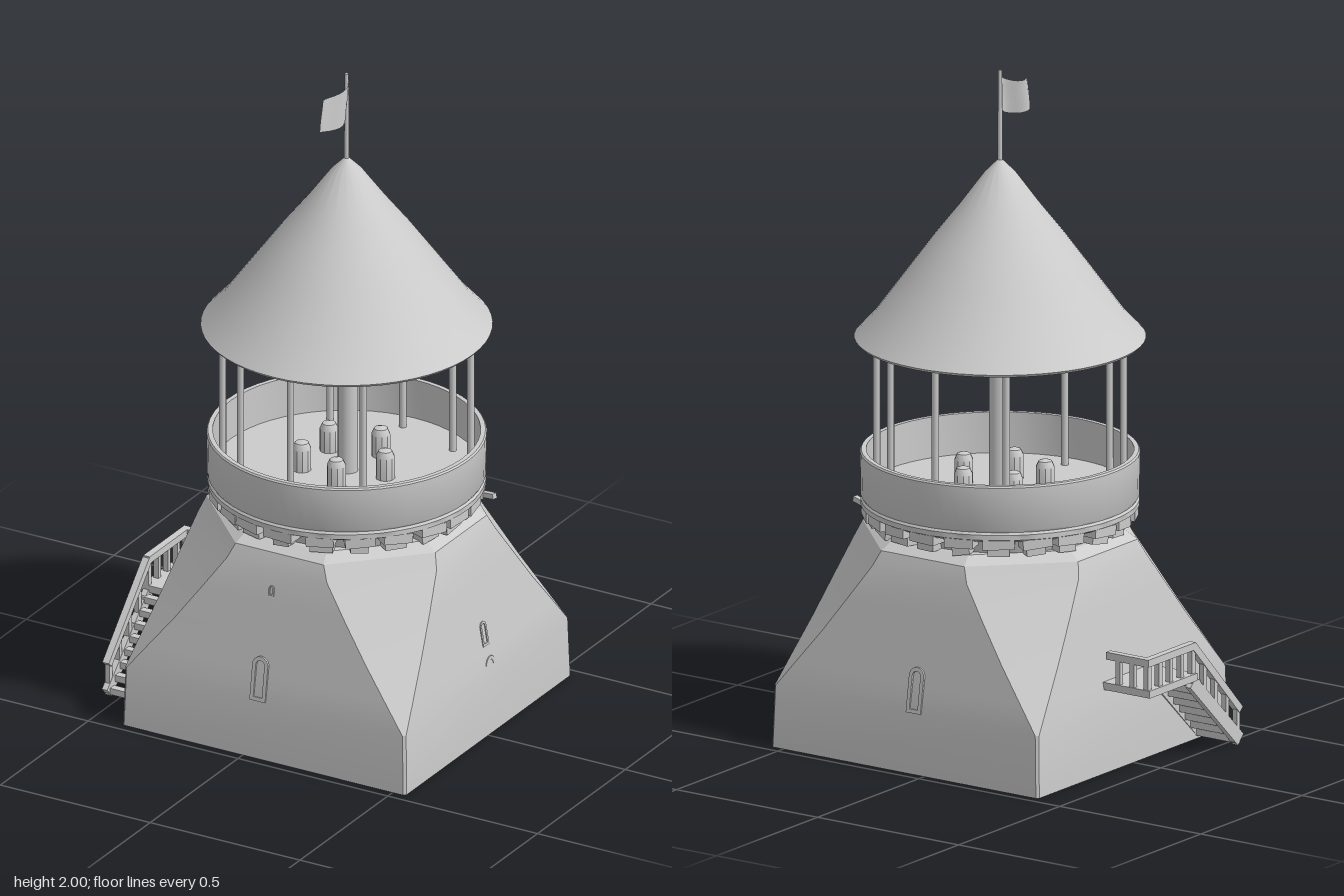
import * as THREE from 'three';
import { toCreasedNormals } from 'three/addons/utils/BufferGeometryUtils.js';

const smooth = new THREE.MeshStandardMaterial({ color: 0xcccccc });
const flat = new THREE.MeshStandardMaterial({ color: 0xcccccc, flatShading: true });
const thin = new THREE.MeshStandardMaterial({ color: 0xcccccc, side: THREE.DoubleSide });

let seed = 7;
const rand = () => (seed = (seed * 16807) % 2147483647) / 2147483647;

function add(parent, name, geometry, material, x = 0, y = 0, z = 0) {
  const mesh = new THREE.Mesh(geometry, material);
  mesh.name = name;
  mesh.position.set(x, y, z);
  parent.add(mesh);
  return mesh;
}

function group(parent, name, x = 0) {
  const g = new THREE.Group();
  g.name = name;
  g.position.x = x;
  parent.add(g);
  return g;
}

function lathe(points, segments) {
  const pts = points.map(([r, y]) => new THREE.Vector2(r, y));
  return toCreasedNormals(new THREE.LatheGeometry(pts, segments), 0.6);
}

// square bar running between two points
function beam(parent, name, a, b, w = 0.022, h = w) {
  const from = new THREE.Vector3(...a), to = new THREE.Vector3(...b);
  const mesh = add(parent, name, new THREE.BoxGeometry(w, h, from.distanceTo(to)), flat);
  mesh.position.copy(from).add(to).multiplyScalar(0.5);
  mesh.lookAt(to);
}

// square shell, open below, whose corners are cut back into an octagon towards the top
function baseGeometry() {
  const levels = [ // height, half width, half length of the flat face
    [0.005, 0.473, 0.466], [0.19, 0.468, 0.46], [0.27, 0.454, 0.397], [0.37, 0.436, 0.318],
    [0.48, 0.417, 0.238], [0.58, 0.398, 0.167], [0.625, 0.382, 0.147], [0.65, 0.345, 0.135],
  ];
  const pos = [], idx = [];
  for (const [y, w, h] of levels)
    for (const [x, z] of [[-h, w], [h, w], [w, h], [w, -h], [h, -w], [-h, -w], [-w, -h], [-w, h]])
      pos.push(x, y, z);
  const last = (levels.length - 1) * 8, top = last + 8;
  pos.push(0, 0.65, 0);
  for (let i = 0; i < 8; i++) {
    const j = (i + 1) % 8;
    for (let k = 0; k < last; k += 8) idx.push(k + i, k + j, k + 8 + j, k + i, k + 8 + j, k + 8 + i);
    idx.push(last + i, last + j, top);
  }
  const g = new THREE.BufferGeometry();
  g.setAttribute('position', new THREE.Float32BufferAttribute(pos, 3));
  g.setIndex(idx);
  return toCreasedNormals(g, 0.3);
}

function arch(path, w, h, y = 0) {
  path.moveTo(-w, y);
  path.lineTo(w, y);
  path.lineTo(w, y + h - w);
  path.absarc(0, y + h - w, w, 0, Math.PI, false);
  path.lineTo(-w, y);
  return path;
}

// arched frame reaching through the wall
function windowFrame(w, h) {
  const shape = arch(new THREE.Shape(), w, h);
  shape.holes.push(arch(new THREE.Path(), w * 0.55, h - w * 0.9, w * 0.45));
  return new THREE.ExtrudeGeometry(shape, { depth: 0.05, bevelEnabled: false, curveSegments: 6 });
}

function buildStairs(parent) {
  const s = group(parent, 'stairs');
  const outer = -0.534, inner = -0.395, mid = (outer + inner) / 2, deck = 0.26;
  add(s, 'landing', new THREE.BoxGeometry(0.17, 0.022, 0.235), flat, mid, deck, -0.007);
  // treads and their side boards
  for (let i = 0; i < 8; i++)
    add(s, 'tread', new THREE.BoxGeometry(0.155, 0.02, 0.024), flat, mid, 0.235 - i * 0.03, 0.125 + i * 0.028);
  for (const x of [outer, inner])
    beam(s, 'stringer', [x, deck - 0.015, 0.1], [x, 0.02, 0.335], 0.018, 0.04);
  // railing along the back, the outer side and down the flight
  const top = 0.352;
  beam(s, 'rail', [inner, top, -0.114], [outer, top, -0.114]);
  beam(s, 'rail', [outer, top, -0.125], [outer, top, 0.11]);
  beam(s, 'rail', [outer, top, 0.105], [outer, 0.11, 0.335]);
  for (let i = 0; i < 3; i++) {
    const x = outer + 0.05 * i;
    beam(s, 'baluster', [x, deck, -0.114], [x, top, -0.114], 0.016);
  }
  for (let i = 0; i < 5; i++) {
    const z = -0.114 + 0.054 * i, zs = 0.105 + 0.055 * i, drop = i * 0.057;
    beam(s, 'baluster', [outer, deck, z], [outer, top, z], 0.016);
    beam(s, 'baluster', [outer, Math.max(0, deck - 0.02 - drop), zs], [outer, top - drop, zs], 0.016);
  }
}

export function createModel() {
  const model = new THREE.Group();
  model.name = 'watchtower';
  const tower = group(model, 'tower', 0.07);

  add(tower, 'base', baseGeometry(), thin);

  // openings: quarter turn, offset along the wall, foot height, half width, height, wall distance, lean
  const openings = [
    [0, -0.022, 0.18, 0.026, 0.135, 0.423, 0.15], [0, -0.01, 0.495, 0.009, 0.03, 0.367, 0.17],
    [1, 0.03, 0.115, 0.025, 0.125, 0.42, 0.06], [1, 0.02, 0.27, 0.016, 0.075, 0.406, 0.17],
    [2, 0.03, 0.18, 0.026, 0.135, 0.423, 0.15],
  ];
  for (const [side, u, y, w, h, d, lean] of openings) {
    const wall = group(tower, 'windowSide');
    wall.rotation.y = side * Math.PI / 2;
    add(wall, 'windowFrame', windowFrame(w, h), flat, u, y, d).rotation.x = -lean;
  }

  // rough stone corbels under the gallery
  add(tower, 'neck', new THREE.CylinderGeometry(0.355, 0.335, 0.06, 24, 1, true), smooth, 0, 0.67, 0);
  const corbels = 22;
  for (let i = 0; i < corbels; i++) {
    const arm = group(tower, 'corbel');
    arm.rotation.y = (i + rand() * 0.3) / corbels * Math.PI * 2;
    const upper = add(arm, 'corbelUpper', new THREE.BoxGeometry(0.075 + rand() * 0.02, 0.03, 0.075), flat, 0, 0.69, 0.36);
    upper.rotation.z = (rand() - 0.5) * 0.2;
    const lower = add(arm, 'corbelLower', new THREE.BoxGeometry(0.045 + rand() * 0.03, 0.035, 0.07), flat, 0, 0.667, 0.343);
    lower.rotation.z = (rand() - 0.5) * 0.4;
  }
  beam(tower, 'spout', [0.35, 0.69, -0.15], [0.402, 0.675, -0.172], 0.016);

  // gallery floor and parapet
  add(tower, 'gallery', lathe([[0, 0.695], [0.383, 0.695], [0.402, 0.705], [0.402, 0.72], [0.397, 0.727],
    [0.402, 0.735], [0.404, 0.862], [0.4, 0.867], [0.386, 0.867], [0.386, 0.745], [0, 0.745]], 56), smooth);

  // posts carrying the roof
  for (const [x, z] of [[0, 0.32], [-0.205, 0.255], [-0.31, 0.178], [0.205, 0.255]])
    for (const s of [1, -1])
      add(tower, 'post', new THREE.CylinderGeometry(0.011, 0.011, 0.52, 8), smooth, s * x, 0.99, s * z);
  add(tower, 'centreColumn', new THREE.CylinderGeometry(0.03, 0.03, 0.9, 16), smooth, 0.01, 1.18, 0.01);

  // stools around the column
  const stool = lathe([[0, 0], [0.028, 0], [0.028, 0.07], [0.02, 0.088], [0, 0.095]], 10);
  for (let i = 0; i < 5; i++) {
    const a = i / 5 * Math.PI * 2 + 0.3;
    add(tower, 'stool', stool, smooth, 0.13 * Math.sin(a), 0.743, 0.13 * Math.cos(a));
  }

  // hollow conical roof
  add(tower, 'roof', lathe([[0, 1.705], [0.11, 1.575], [0.25, 1.385], [0.398, 1.203], [0.415, 1.197], [0.421, 1.205],
    [0.362, 1.27], [0.267, 1.4], [0.19, 1.505], [0.115, 1.6], [0.045, 1.695], [0, 1.74]], 56), smooth);

  // pole and waving flag
  add(tower, 'flagpole', new THREE.CylinderGeometry(0.006, 0.008, 0.29, 8), smooth, 0, 1.855, 0);
  const flag = new THREE.PlaneGeometry(0.125, 0.1, 12, 4);
  const p = flag.attributes.position;
  for (let i = 0; i < p.count; i++) {
    const t = p.getX(i) / 0.125 + 0.5, v = p.getY(i);
    const sag = 0.035 * (1 - t) ** 2 - 0.012 * Math.sin(t * Math.PI);
    p.setXYZ(i, 0.018 * Math.sin(t * 5.5 + v * 10), 1.908 + v + sag, t * 0.125);
  }
  flag.computeVertexNormals();
  add(tower, 'flag', flag, thin);

  buildStairs(model);
  return model;
}
